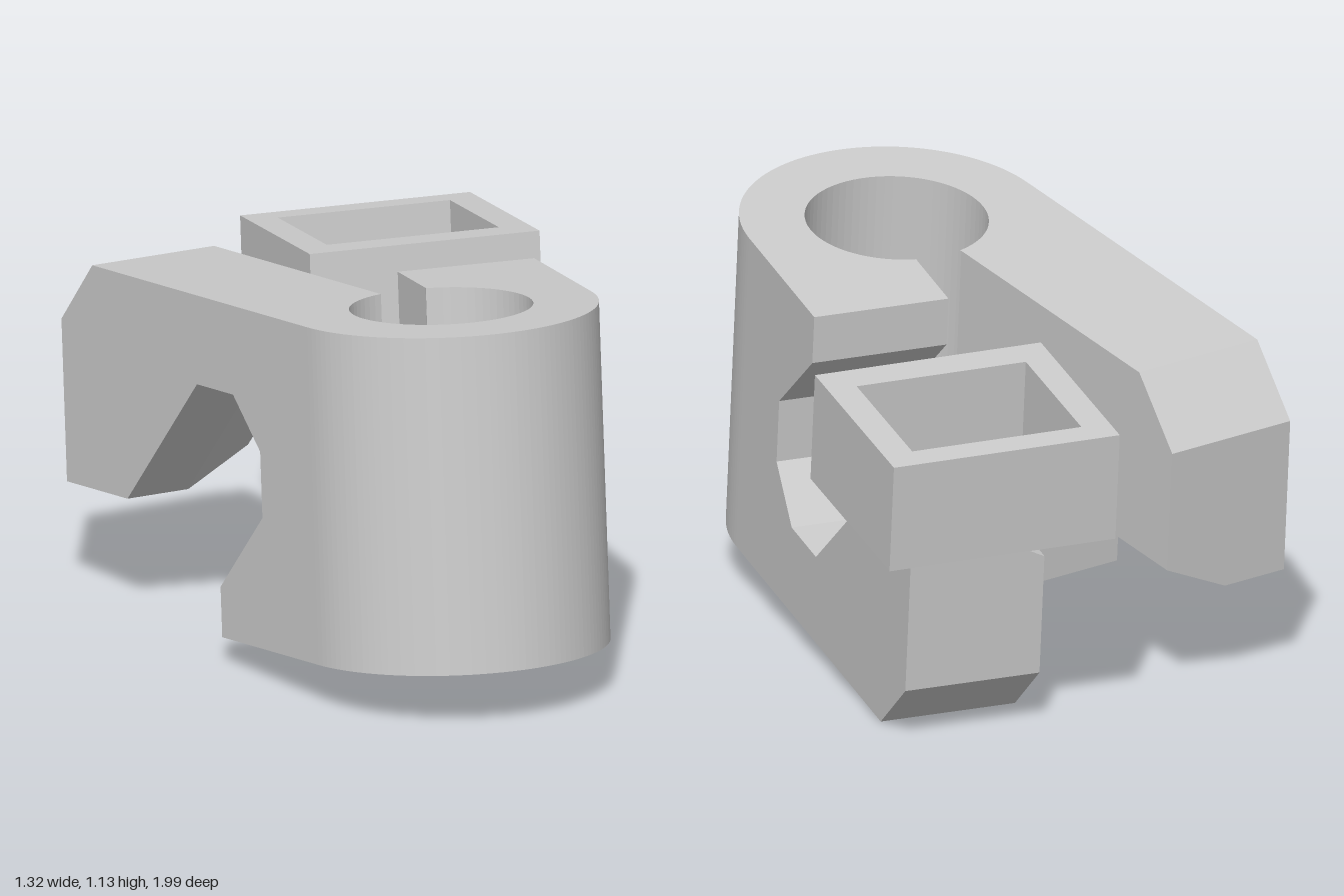
import * as THREE from 'three';

const material = new THREE.MeshStandardMaterial({ color: 0xcccccc, flatShading: true });
const BOTTOM = 0.062, TOP = 1.034, HEIGHT = TOP - BOTTOM, MID = (TOP + BOTTOM) / 2;
const OUTER = 0.445, BORE = 0.26, INNER = 0.04; // barrel radii, inner face of the arms
const START = 0.262;                            // distance from the axis where arms begin
const CENTRE = [0.07, 0.565];
const RIGHT_YAW = -0.012, LEFT_YAW = 0.23;

function addMesh(parent, name, geometry) {
  const mesh = new THREE.Mesh(geometry, material);
  mesh.name = name;
  parent.add(mesh);
  return mesh;
}

// Plan shapes are drawn in (x, -z) and raised along y
function raise(shape, height) {
  return new THREE.ExtrudeGeometry(shape, { depth: height, bevelEnabled: false, curveSegments: 32 })
    .rotateX(-Math.PI / 2);
}

function barrelGeometry() {
  const at = (n, s, a) => new THREE.Vector2(n, s).rotateAround(new THREE.Vector2(), a);
  const ri = at(INNER, START, RIGHT_YAW), ro = at(OUTER, START, RIGHT_YAW);
  const lo = at(-OUTER, START, LEFT_YAW), li = at(-INNER, START, LEFT_YAW);
  const shape = new THREE.Shape();
  shape.moveTo(ri.x, ri.y);
  shape.lineTo(ro.x, ro.y);
  shape.absarc(0, 0, OUTER, RIGHT_YAW, Math.PI + LEFT_YAW, true);
  shape.lineTo(lo.x, lo.y);
  shape.lineTo(li.x, li.y);
  shape.absarc(0, 0, BORE, li.angle(), ri.angle(), false);
  return raise(shape, HEIGHT);
}

// Hooked arm: side profile as (distance from axis, height)
function armGeometry() {
  const profile = [
    [START, BOTTOM], [1.141, BOTTOM], [1.316, 0.243], [1.316, 0.711], [0.995, 0.711],
    [0.602, 0.32], [0.411, 0.32], [0.276, 0.463], [0.276, 0.654], [0.513, 0.889],
    [0.513, TOP], [START, TOP],
  ];
  const shape = new THREE.Shape(profile.map(([s, y]) => new THREE.Vector2(s, y)));
  const geometry = new THREE.ExtrudeGeometry(shape, { depth: OUTER - INNER, steps: 2, bevelEnabled: false });
  // Bevel the inner half of the hook's ramp and tip
  const p = geometry.attributes.position;
  for (let i = 0; i < p.count; i++) {
    if (p.getZ(i) > 0.01) continue;
    if (Math.abs(p.getY(i) - 0.711) < 1e-3) p.setY(i, 0.611);
    if (Math.abs(p.getX(i) - 0.602) < 1e-3) p.setX(i, 0.702);
  }
  geometry.rotateY(Math.PI / 2).translate(INNER, -MID, 0);
  geometry.computeVertexNormals();
  return geometry;
}

function rectangle(path, x0, x1, y0, y1) {
  return path.setFromPoints([[x0, y0], [x1, y0], [x1, y1], [x0, y1]].map(([x, y]) => new THREE.Vector2(x, y)));
}

export function createModel() {
  const model = new THREE.Group();
  model.name = 'hookedClip';
  model.rotation.x = -0.103;

  // Open C-shaped barrel
  addMesh(model, 'barrel', barrelGeometry()).position.set(CENTRE[0], BOTTOM, CENTRE[1]);

  // Two identical hooks, the second turned upside down
  const arm = armGeometry();
  for (const [name, yaw, roll] of [['lowerHookArm', RIGHT_YAW, 0], ['upperHookArm', LEFT_YAW, Math.PI]]) {
    const mesh = addMesh(model, name, arm);
    mesh.position.set(CENTRE[0], MID, CENTRE[1]);
    mesh.rotation.set(0, yaw, roll, 'YXZ');
  }

  // Square socket on the lower hook
  const walls = rectangle(new THREE.Shape(), -0.03, 0.655, 0.285, 0.89);
  walls.holes.push(rectangle(new THREE.Path(), 0.055, 0.568, 0.385, 0.81));
  addMesh(model, 'socketWalls', raise(walls, 0.297)).position.y = 0.74;
  const floor = rectangle(new THREE.Shape(), -0.03, 0.655, 0.285, 0.89);
  addMesh(model, 'socketFloor', raise(floor, 0.03)).position.y = 0.71;

  const root = new THREE.Group();
  root.add(model);
  return root;
}
